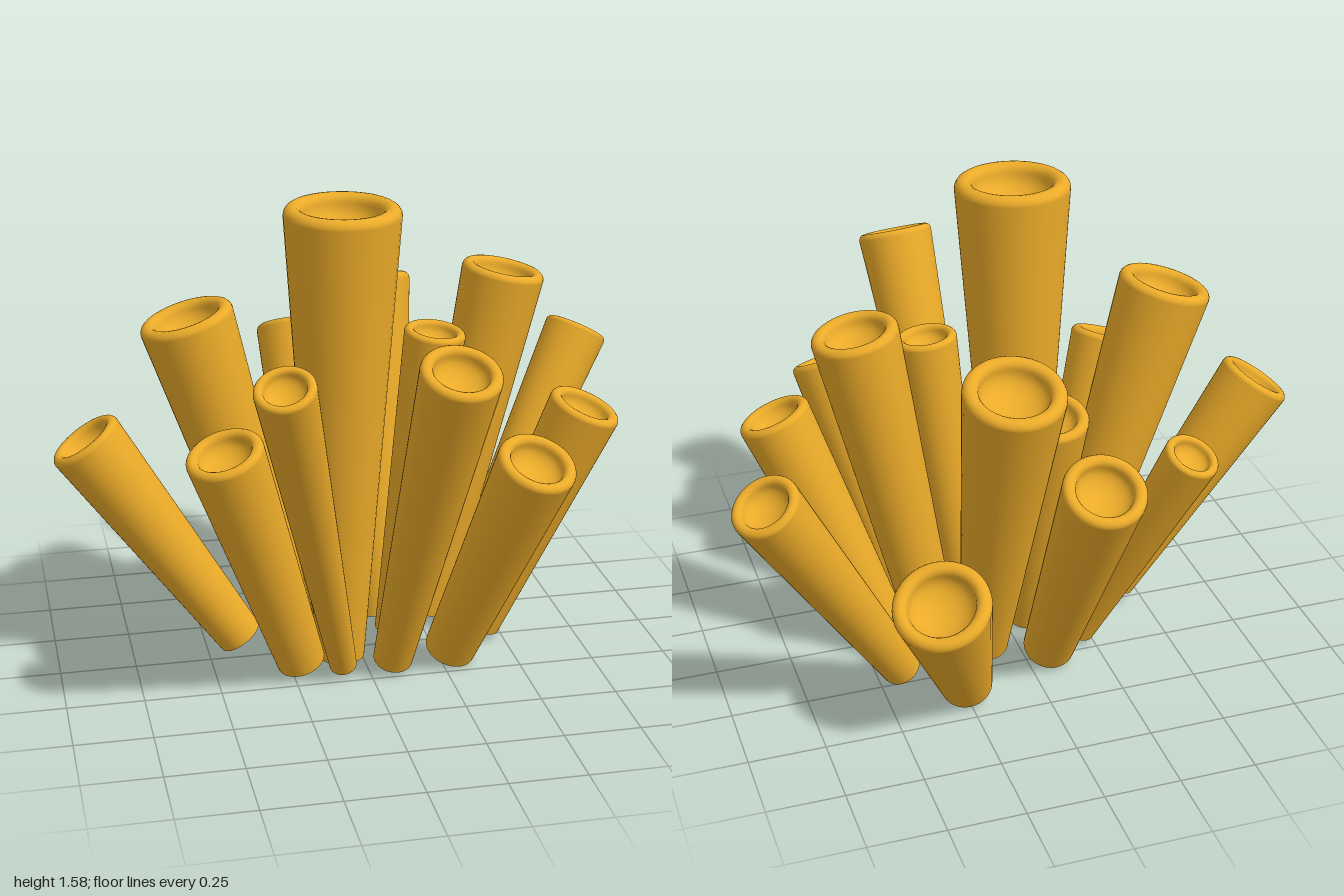
import * as THREE from 'three';

// each tube: top centre, top radius, base centre, base radius
const TUBES = [
  [[-0.075, 1.57, 0.14], 0.185, [-0.075, 0.02, 0.08], 0.08],
  [[-0.08, 0.93, -0.735], 0.13, [-0.075, 0.05, -0.26], 0.085],
  [[0.40, 0.55, -0.62], 0.155, [0.25, 0.05, -0.38], 0.085],
  [[0.12, 1.17, -0.485], 0.16, [0.12, 0.04, -0.16], 0.08],
  [[0.90, 0.925, -0.50], 0.11, [0.43, 0.06, -0.24], 0.065],
  [[-0.46, 0.85, -0.50], 0.09, [-0.21, 0.04, -0.19], 0.05],
  [[-0.08, 0.92, -0.235], 0.125, [-0.07, 0.03, -0.04], 0.065],
  [[0.525, 1.265, -0.145], 0.137, [0.28, 0.04, -0.17], 0.075],
  [[-0.89, 0.815, -0.02], 0.123, [-0.40, 0.08, 0], 0.075],
  [[-0.555, 1.21, 0], 0.152, [-0.21, 0.04, -0.01], 0.08],
  [[0.25, 1.12, 0.035], 0.1, [0.13, 0.03, -0.06], 0.055],
  [[0.735, 0.865, 0.135], 0.12, [0.42, 0.05, -0.01], 0.08],
  [[-0.49, 0.87, 0.34], 0.125, [-0.22, 0.04, 0.14], 0.08],
  [[0.46, 0.835, 0.525], 0.127, [0.285, 0.04, 0.15], 0.085],
  [[0.17, 1.2, 0.685], 0.125, [0.08, 0.04, 0.19], 0.065],
  [[-0.37, 1.21, 0.76], 0.093, [-0.09, 0.04, 0.2], 0.045],
];

// closed flat base, tapered wall, rounded lip and a shallow bowl on top
function tubeGeometry(rTop, rBase, height) {
  const lip = rTop * 0.16;
  const p = [[0, 0], [rBase, 0], [rBase, 0], [rTop, height - lip]];
  for (let i = 1; i <= 8; i++) {
    const a = (i / 8) * Math.PI;
    p.push([rTop - lip + lip * Math.cos(a), height - lip + lip * Math.sin(a)]);
  }
  const rBowl = rTop - 2 * lip;
  for (let i = 1; i <= 8; i++) {
    const a = (i / 8) * Math.PI / 2;
    p.push([i === 8 ? 0 : rBowl * Math.cos(a), height - lip - rTop * 0.42 * Math.sin(a)]);
  }
  return new THREE.LatheGeometry(p.map(([x, y]) => new THREE.Vector2(x, y)), 40);
}

export function createModel() {
  const group = new THREE.Group();
  group.name = 'tubeCluster';
  const material = new THREE.MeshStandardMaterial({ color: 0xebab29 });
  const up = new THREE.Vector3(0, 1, 0);

  TUBES.forEach(([top, rTop, base, rBase], i) => {
    const start = new THREE.Vector3(...base);
    const axis = new THREE.Vector3(...top).sub(start);
    const tube = new THREE.Mesh(tubeGeometry(rTop, rBase, axis.length()), material);
    tube.name = `tube${i + 1}`;
    tube.position.copy(start);
    tube.quaternion.setFromUnitVectors(up, axis.normalize());
    group.add(tube);
  });
  return group;
}
